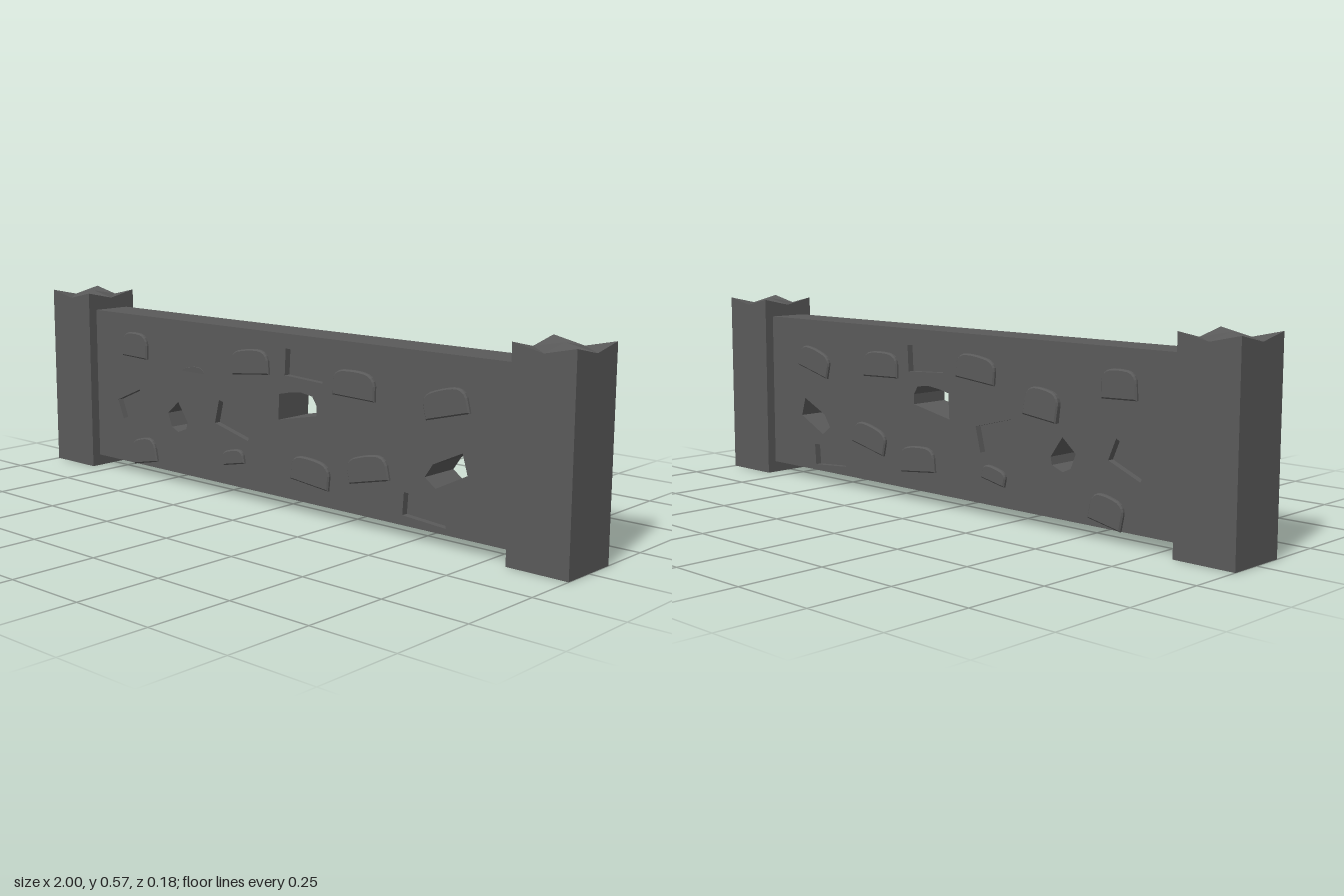
import * as THREE from 'three';

const stone = new THREE.MeshStandardMaterial({ color: 0x5a5a5a });
stone.name = 'dark grey stone';

const FACE = 0.063; // half thickness of the wall
const RECESS = 0.02; // depth of the missing stones

// [x, y, width, height, turn]
const blocks = [
  [-0.62, 0.42, 0.115, 0.08, -0.03], [-0.11, 0.42, 0.15, 0.075, 0.1],
  [0.29, 0.4, 0.15, 0.078, -0.03], [0.6, 0.388, 0.145, 0.075, 0.25],
  [0.13, 0.13, 0.145, 0.078, -0.1], [0.34, 0.172, 0.145, 0.075, 0.22],
  [-0.182, 0.125, 0.09, 0.045, 0.2], [-0.585, 0.085, 0.112, 0.08, 0.2],
];
const tiltedBlock = [-0.36, 0.342, 0.12, 0.085, 0.12];
const recesses = [
  [-0.65, 0.225, 0.115, 0.065, 0.4], [-0.185, 0.235, 0.145, 0.075, -0.25],
  [0.1, 0.43, 0.145, 0.078, -0.05], [0.535, 0.09, 0.145, 0.065, -0.07],
];
const openings = [
  [[0, 0.262], [0.148, 0.292], [0.148, 0.322], [0.132, 0.346], [0.09, 0.352], [0.04, 0.346], [0.004, 0.338]],
  [[-0.475, 0.22], [-0.428, 0.26], [-0.387, 0.202], [-0.392, 0.18], [-0.43, 0.165], [-0.458, 0.178]],
  [[0.534, 0.18], [0.56, 0.218], [0.655, 0.262], [0.672, 0.205], [0.57, 0.154]],
];

const path = (pts) => new THREE.Path(pts.map(([x, y]) => new THREE.Vector2(x, y)));

function recessPath([x, y, w, h, turn]) {
  const c = Math.cos(turn), s = Math.sin(turn);
  return path([[-1, -1], [1, -1], [1, 1], [-1, 1]].map(([u, v]) => {
    const px = u * w / 2, py = v * h / 2;
    return [x + px * c - py * s, y + px * s + py * c];
  }));
}

// One slab of the wall with holes cut through it
function wallLayer(name, z0, z1, holes) {
  const shape = new THREE.Shape();
  shape.moveTo(-0.82, 0.035).lineTo(0.82, 0.035).lineTo(0.82, 0.515).lineTo(-0.82, 0.515).closePath();
  shape.holes.push(...holes);
  const geometry = new THREE.ExtrudeGeometry(shape, { depth: z1 - z0, bevelEnabled: false });
  geometry.translate(0, 0, z0);
  const mesh = new THREE.Mesh(geometry, stone);
  mesh.name = name;
  return mesh;
}

// Stone with a flat base and rounded top, standing proud of both wall faces
function wallStone([x, y, w, h, turn], reach) {
  const a = w / 2 - 0.004, b = h / 2 - 0.004;
  const shape = new THREE.Shape();
  shape.moveTo(-a, -b).lineTo(a, -b).lineTo(a, b * 0.1);
  shape.quadraticCurveTo(a * 0.95, b * 0.85, a * 0.5, b * 0.95);
  shape.quadraticCurveTo(0, b * 1.05, -a * 0.6, b * 0.9);
  shape.quadraticCurveTo(-a, b * 0.7, -a, b * 0.1);
  shape.closePath();
  const bevel = 0.004, depth = 2 * (reach - bevel);
  const geometry = new THREE.ExtrudeGeometry(shape, {
    depth, curveSegments: 4, bevelSize: bevel, bevelThickness: bevel, bevelSegments: 1,
  });
  geometry.translate(0, 0, -depth / 2);
  const mesh = new THREE.Mesh(geometry, stone);
  mesh.name = 'wallStone';
  mesh.position.set(x, y, 0);
  mesh.rotation.z = turn;
  return mesh;
}

// Square post: raised corners, dipped edge middles and a peak in the centre
function postGeometry() {
  const r = 0.092, pos = [];
  const ring = [[0, 1], [1, 1], [1, 0], [1, -1], [0, -1], [-1, -1], [-1, 0], [-1, 1]];
  const low = (i) => [ring[i % 8][0] * r, 0, ring[i % 8][1] * r];
  const high = (i) => [ring[i % 8][0] * r, i % 2 ? 0.57 : 0.55, ring[i % 8][1] * r];
  const tri = (...corners) => corners.forEach((p) => pos.push(...p));
  for (let i = 0; i < 8; i++) {
    tri(low(i), low(i + 1), high(i + 1));
    tri(low(i), high(i + 1), high(i));
    tri([0, 0, 0], low(i + 1), low(i));
    if (i % 2 === 0) {
      tri(high(i), high(i + 1), high(i + 2));
      tri([0, 0.568, 0], high(i), high(i + 2));
    }
  }
  const geometry = new THREE.BufferGeometry();
  geometry.setAttribute('position', new THREE.Float32BufferAttribute(pos, 3));
  geometry.computeVertexNormals();
  return geometry;
}

export function createModel() {
  const model = new THREE.Group();
  model.name = 'stoneWall';

  // Wall: faces carry the recesses, the core closes them
  const through = openings.map(path);
  const faceHoles = [...through, ...recesses.map(recessPath)];
  const inner = FACE - RECESS;
  model.add(
    wallLayer('wallFront', inner, FACE, faceHoles),
    wallLayer('wallCore', -inner, inner, through),
    wallLayer('wallBack', -FACE, -inner, faceHoles),
  );

  // Stones
  for (const block of blocks) model.add(wallStone(block, 0.073));
  const tilted = wallStone(tiltedBlock, 0.07);
  tilted.name = 'tiltedStone';
  tilted.position.z = -0.008;
  tilted.rotation.x = 0.05;
  model.add(tilted);

  // End posts
  const geometry = postGeometry();
  for (const side of [-1, 1]) {
    const post = new THREE.Mesh(geometry, stone);
    post.name = side > 0 ? 'leftPost' : 'rightPost';
    post.position.x = side * 0.908;
    model.add(post);
  }
  return model;
}
